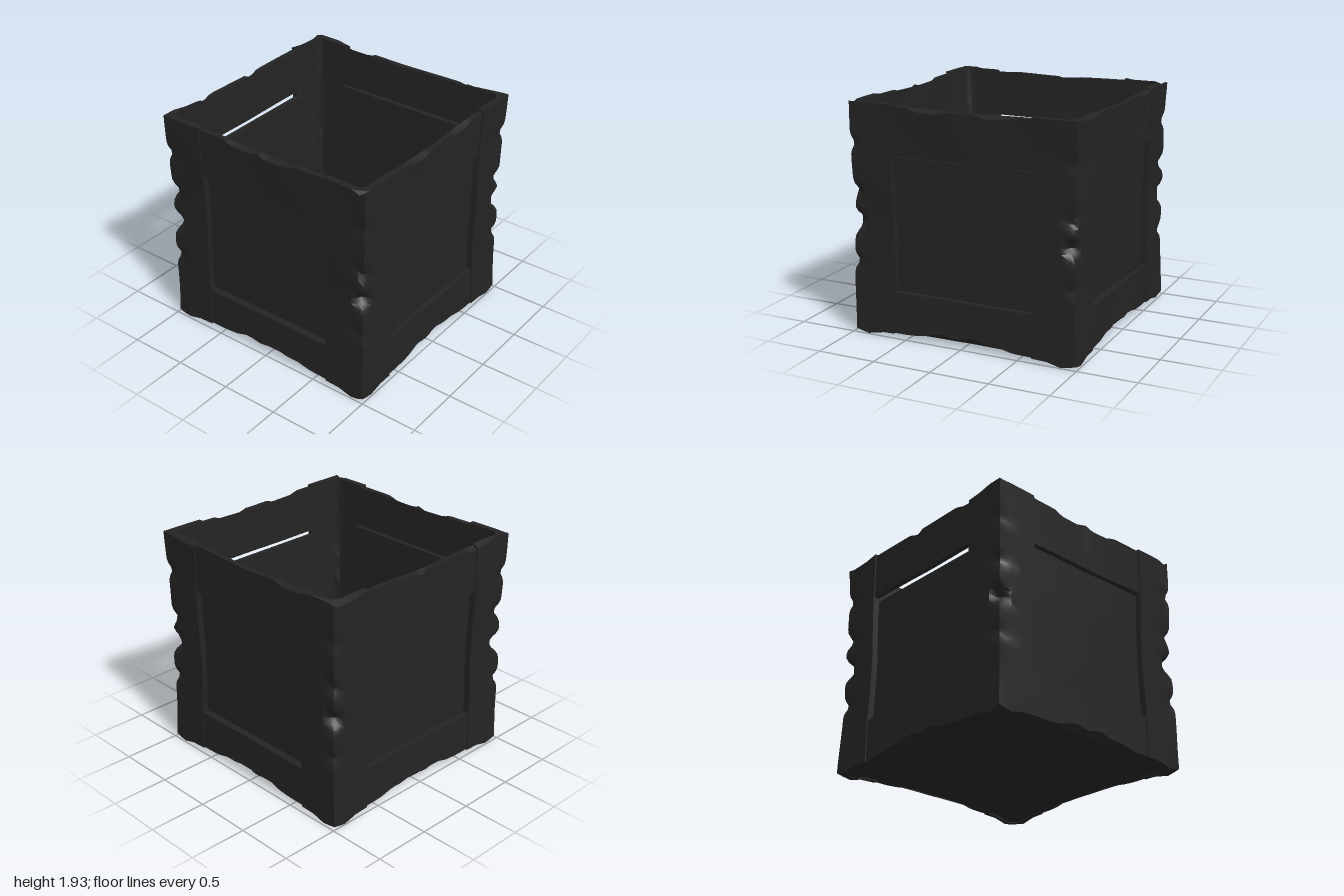
import * as THREE from 'three';
import { toCreasedNormals } from 'three/addons/utils/BufferGeometryUtils.js';

const step = THREE.MathUtils.smoothstep;
const bell = (v, centre, width) => Math.exp(-(((v - centre) / width) ** 2));

// Wear rule in crate space: chipped corners, ragged top and bottom edges, slight dents.
function weather(geo) {
  const p = geo.attributes.position;
  for (let i = 0; i < p.count; i++) {
    let x = p.getX(i), y = p.getY(i), z = p.getZ(i);
    const ax = Math.abs(x), az = Math.abs(z);
    const m = Math.max(ax, az), n = Math.min(ax, az);
    const t = ax > az ? z : x;
    const side = (ax > az ? 1 : 2) + (x > 0 ? 0.7 : 0) + (z > 0 ? 1.3 : 0);
    const outer = step(m, 0.93, 0.975);
    // Nicks down the upright corners
    const nick = 0.075 * bell(y, 0.95, 0.07) + 0.04 * bell(y, 1.2 + 0.05 * Math.sin(side), 0.06)
      + 0.03 * bell(y, 0.62, 0.05) + 0.025 * bell(y, 1.6, 0.05);
    const pull = nick * step(n, 0.89, 0.98);
    // Bottom: chipped middle, lowered feet
    const low = 1 - step(y, 0.05, 0.14);
    const top = step(y, 1.8, 1.9);
    const dy = low * (outer * 0.06 * Math.exp(-((t / 0.36) ** 4)) * (0.8 + 0.2 * Math.sin(t * 22))
      - 0.035 * step(m, 0.7, 0.9) * bell(Math.abs(t), 0.88, 0.09))
      - top * (0.012 * bell(t, 0, 0.3)
      + outer * 0.03 * step(Math.sin(t * 7 + side * 3), 0.3, 0.9));
    // Waist: walls are slightly narrower halfway up
    const waist = 1 - 0.014 * Math.sin(Math.PI * THREE.MathUtils.clamp(y / 1.95, 0, 1));
    const dent = 1 + 0.004 * Math.sin(y * 6 + t * 5 + side);
    x = (x - Math.sign(x) * pull) * waist * dent * 0.993;
    z = (z - Math.sign(z) * pull) * waist * dent;
    p.setXYZ(i, x, y + dy, z);
  }
  return toCreasedNormals(geo, 0.6);
}

// Box given by its limits, cut finely enough to be worn
function slab(x0, x1, y0, y1, z0, z1, cut = 0.05) {
  const w = x1 - x0, h = y1 - y0, d = z1 - z0;
  const n = (v) => Math.max(2, Math.round(v / cut));
  return new THREE.BoxGeometry(w, h, d, n(w), n(h), n(d))
    .translate((x0 + x1) / 2, (y0 + y1) / 2, (z0 + z1) / 2);
}

// L-shaped corner post
function postGeometry() {
  const o = 0.99, i = 0.935, e = 0.62;
  const s = new THREE.Shape();
  s.moveTo(e, -o);
  for (const v of [0.75, 0.87, 0.94, o]) s.lineTo(v, -o);
  for (const v of [0.94, 0.87, 0.75, e]) s.lineTo(o, -v);
  s.lineTo(i, -e);
  s.lineTo(i, -0.86);
  s.quadraticCurveTo(i, -i, 0.86, -i);
  s.lineTo(e, -i);
  s.closePath();
  return new THREE.ExtrudeGeometry(s, { depth: 1.9, steps: 48, bevelEnabled: false, curveSegments: 4 })
    .rotateX(-Math.PI / 2).translate(0, 0.04, 0);
}

// Thin tapering gouge from a to b, lying in the xy plane
function gouge(ax, ay, bx, by, width) {
  const dx = bx - ax, dy = by - ay, len = Math.hypot(dx, dy);
  const nx = -dy / len * width, ny = dx / len * width;
  const s = new THREE.Shape();
  s.moveTo(ax, ay);
  s.lineTo(ax + dx * 0.8 - nx, ay + dy * 0.8 - ny);
  s.lineTo(bx, by);
  s.lineTo(ax + dx * 0.8 + nx, ay + dy * 0.8 + ny);
  return new THREE.ExtrudeGeometry(s, { depth: 0.008, bevelEnabled: false });
}

export function createModel() {
  const crate = new THREE.Group();
  crate.name = 'openCrate';
  const charcoal = new THREE.MeshStandardMaterial({ color: 0x242424 });
  charcoal.name = 'charcoal';

  const add = (name, geo) => {
    const mesh = new THREE.Mesh(geo, charcoal);
    mesh.name = name;
    crate.add(mesh);
  };

  ['front', 'right', 'back', 'left'].forEach((wall, k) => {
    const turn = k * Math.PI / 2;
    const across = k % 2 === 1;
    const railBottom = across ? 1.51 : 1.525;
    const lowTop = across ? 0.385 : 0.395;

    add(wall + 'CornerPost', weather(postGeometry().rotateY(turn)));
    add(wall + 'TopRail', weather(slab(-0.63, 0.63, railBottom, 1.925, 0.935, 0.98).rotateY(turn)));
    add(wall + 'BottomRail', weather(slab(-0.63, 0.63, 0.045, lowTop, 0.935, 0.98).rotateY(turn)));

    // Recessed panel, open along the top on front and back, along the bottom on the sides
    const y0 = across ? 0.395 : 0.36, y1 = across ? 1.57 : 1.505;
    add(wall + 'Panel', slab(-0.625, 0.625, y0, y1, 0.87, 0.915, 0.3).rotateY(turn));
  });

  // Floor
  add('floor', weather(slab(-0.95, 0.95, 0.045, 0.1, -0.95, 0.95)));

  // Gouges in the wood
  add('frontGouge', gouge(-0.36, 0.86, 0.27, 0.42, 0.012).translate(0, 0, 0.913));
  add('leftGouge', gouge(-0.2, 0.85, -0.6, 0.45, 0.012).translate(0, 0, 0.913).rotateY(-Math.PI / 2));
  add('floorGouge', gouge(-0.73, 0.55, -0.24, -0.04, 0.015).rotateX(-Math.PI / 2).translate(0, 0.098, 0));

  // Stand on the ground
  const box = new THREE.Box3().setFromObject(crate);
  crate.children.forEach((m) => { m.position.y -= box.min.y; });
  return crate;
}
